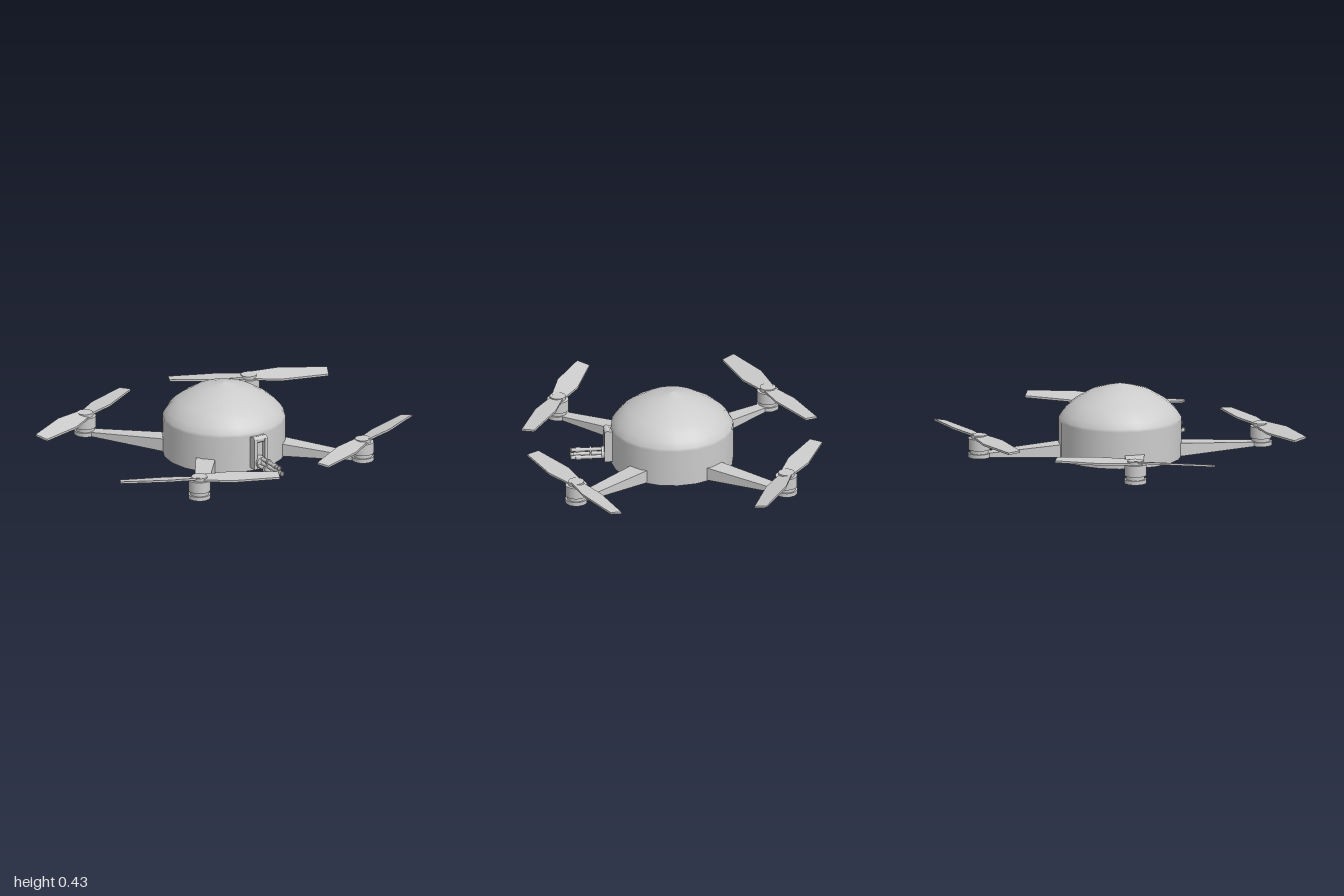
import * as THREE from 'three';
import { ConvexGeometry } from 'three/addons/geometries/ConvexGeometry.js';

const material = new THREE.MeshStandardMaterial({ color: 0xcccccc });

function add(parent, name, geometry, x = 0, y = 0, z = 0) {
  const mesh = new THREE.Mesh(geometry, material);
  mesh.name = name;
  mesh.position.set(x, y, z);
  parent.add(mesh);
  return mesh;
}

function group(parent, name) {
  const g = new THREE.Group();
  g.name = name;
  parent.add(g);
  return g;
}

// Solid between bottom and top faces; each corner is [x, bottom, top, z]
function slab(corners) {
  return new ConvexGeometry(corners.flatMap(([x, y0, y1, z]) =>
    [new THREE.Vector3(x, y0, z), new THREE.Vector3(x, y1, z)]));
}

// Upright cylinder standing on y0
function drum(parent, name, r, y0, y1, sides = 20) {
  return add(parent, name, new THREE.CylinderGeometry(r, r, y1 - y0, sides), 0, (y0 + y1) / 2, 0);
}

// Cylinder lying along z
function rod(parent, name, r, z0, z1, x, y, sides = 10) {
  const geometry = new THREE.CylinderGeometry(r, r, z1 - z0, sides).rotateX(Math.PI / 2);
  return add(parent, name, geometry, x, y, (z0 + z1) / 2);
}

// Tapered arm from the body to the motor
function buildArm(parent, sx, sz) {
  const dir = new THREE.Vector2(0.285, 0.38).normalize();
  const corner = (x, z, half, y0, y1) =>
    [sx * (x + dir.y * half), y0, y1, sz * (z - dir.x * half)];
  add(parent, 'arm', slab([
    corner(0.25, 0.197, 0.058, 0.003, 0.082),
    corner(0.25, 0.197, -0.058, 0.003, 0.082),
    corner(0.56, 0.608, 0.032, 0.03, 0.05),
    corner(0.56, 0.608, -0.032, 0.03, 0.05),
  ]));
}

// One pitched blade; end is 1 for the outer blade and -1 for the inner one
function buildBlade(parent, sx, sz, end, slope) {
  const outline = [
    [0.0, -0.036], [0.0, 0.036],
    [0.185, -0.056], [0.185, 0.068],
    [0.462, -0.025], [0.462, 0.05],
  ];
  add(parent, end > 0 ? 'outerBlade' : 'innerBlade', slab(outline.map(([u, w]) => {
    const x = sx * (0.9 * u * end + 0.434 * w);
    const z = sz * (-0.434 * u * end + 0.9 * w);
    const y = 0.148 + slope * w;
    return [x, y - 0.006, y + 0.006, z];
  })));
}

function buildRotor(parent, sx, sz) {
  const rotor = group(parent, 'rotor');
  rotor.position.set(sx * 0.56, 0, sz * 0.608);
  drum(rotor, 'motorBase', 0.064, 0.028, 0.052);
  drum(rotor, 'motorNeck', 0.054, 0.052, 0.073);
  drum(rotor, 'motorCan', 0.063, 0.073, 0.14);
  drum(rotor, 'propellerHub', 0.046, 0.14, 0.16);
  buildBlade(rotor, sx, sz, 1, 0.22);
  buildBlade(rotor, sx, sz, -1, -0.08);
}

// Front mount with a slotted rail and a cluster of three barrels
function buildBarrelUnit(parent) {
  const unit = group(parent, 'barrelUnit');
  add(unit, 'mountPlate', new THREE.BoxGeometry(0.09, 0.19, 0.03), 0, 0.115, 0.355);
  for (const s of [-1, 1]) {
    add(unit, 'mountRail', new THREE.BoxGeometry(0.02, 0.18, 0.026), s * 0.035, 0.11, 0.382);
  }
  const cap = add(unit, 'mountCap', new THREE.CylinderGeometry(0.019, 0.019, 0.09, 12), 0, 0.196, 0.376);
  cap.rotation.z = Math.PI / 2;

  rod(unit, 'barrelCarrier', 0.036, 0.365, 0.41, 0, 0.06, 16);
  rod(unit, 'barrelCore', 0.012, 0.4, 0.57, 0, 0.058);
  for (let i = 0; i < 3; i++) {
    const angle = Math.PI / 2 + i * Math.PI * 2 / 3;
    const x = 0.024 * Math.cos(angle), y = 0.058 + 0.026 * Math.sin(angle);
    rod(unit, 'barrel', 0.011, 0.4, 0.585, x, y);
    rod(unit, 'barrelCollar', 0.019, 0.468, 0.478, x, y);
    rod(unit, 'muzzle', 0.015, 0.53, 0.56, x, y);
    // Open muzzle end
    const ring = new THREE.TorusGeometry(0.0115, 0.004, 6, 12);
    add(unit, 'muzzleRing', ring, x, y, 0.587);
  }
}

export function createModel() {
  const model = new THREE.Group();
  model.name = 'quadcopter';

  // Domed body with a flat base
  const profile = [
    [0.355, 0], [0.355, 0.215], [0.353, 0.232], [0.332, 0.265], [0.3, 0.3],
    [0.262, 0.33], [0.175, 0.382], [0.09, 0.408], [0, 0.43],
  ].map(([r, y]) => new THREE.Vector2(r, y));
  add(model, 'bodyShell', new THREE.LatheGeometry(profile, 20));
  add(model, 'bodyBase', new THREE.CircleGeometry(0.355, 20).rotateX(Math.PI / 2));

  for (const sx of [-1, 1]) {
    for (const sz of [-1, 1]) {
      buildArm(model, sx, sz);
      buildRotor(model, sx, sz);
    }
  }
  buildBarrelUnit(model);
  return model;
}
